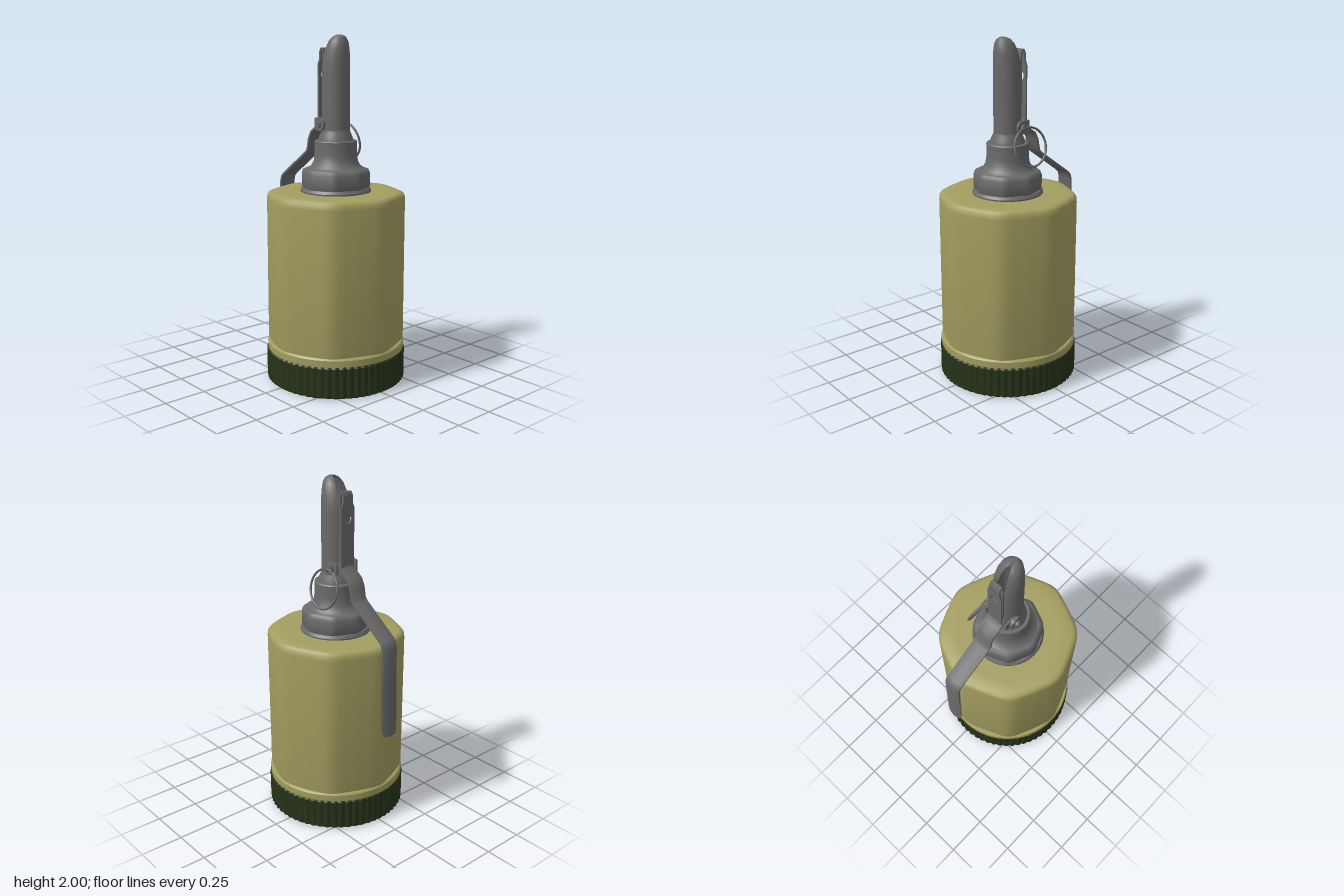
import * as THREE from 'three';
import { toCreasedNormals } from 'three/addons/utils/BufferGeometryUtils.js';

const AXIS_Z = 0.037; // the body axis sits slightly forward of the origin
const paint = (color) => new THREE.MeshStandardMaterial({ color, side: THREE.DoubleSide });
const v2 = (list) => list.map(([a, b]) => new THREE.Vector2(a, b));

export function createModel() {
  const model = new THREE.Group();
  const olive = paint(0xa39e60), green = paint(0x26331a), steel = paint(0x696969);

  const add = (name, geo, mat, crease = 0.6) => {
    const mesh = new THREE.Mesh(toCreasedNormals(geo, crease), mat);
    mesh.name = name;
    model.add(mesh);
    return mesh;
  };

  // Move every vertex by a rule
  const reshape = (geo, rule) => {
    const p = geo.attributes.position, v = new THREE.Vector3();
    for (let i = 0; i < p.count; i++) {
      rule(v.fromBufferAttribute(p, i));
      p.setXYZ(i, v.x, v.y, v.z);
    }
    return geo;
  };

  // Lathe whose radius is scaled by a function of angle and height
  const turned = (profile, segments, scale = () => 1, start = 0, length = Math.PI * 2) =>
    reshape(new THREE.LatheGeometry(v2(profile), segments, start, length), (v) => {
      const k = scale(Math.atan2(v.x, v.z), v.y);
      v.x *= k;
      v.z = v.z * k + AXIS_Z;
    });

  // Eight soft vertical ridges with flatter panels between
  const ridges = (depth) => (a) => 1 - depth * (1 - Math.pow(Math.abs(Math.cos(4 * a)), 3));

  // Ribbed base cap
  add('baseCap', turned([[0, 0], [0.39, 0], [0.408, 0.012], [0.408, 0.18], [0.4, 0.192], [0.38, 0.192]],
    360, (a) => 1 - 0.018 * Math.pow(Math.abs(Math.sin(30 * a)), 4)), green, 0.5);

  // Smooth band and ridged canister
  add('lowerBand', turned([[0.36, 0.19], [0.402, 0.19], [0.403, 0.228], [0.396, 0.237], [0.35, 0.237]], 96), olive);
  add('canister', turned([[0.394, 0.225], [0.4, 0.25], [0.4, 1.07], [0.398, 1.095], [0.388, 1.11],
    [0.37, 1.117], [0.3, 1.117], [0, 1.117]], 128, ridges(0.038)), olive, 0.9);

  // Neck
  add('neckFlange', turned([[0.1, 1.112], [0.203, 1.112], [0.205, 1.125], [0.195, 1.14], [0.15, 1.14]], 64), steel);
  add('neckCollar', turned([[0.19, 1.135], [0.197, 1.15], [0.197, 1.225], [0.188, 1.245], [0.17, 1.252], [0.13, 1.252]],
    96, ridges(0.05)), steel, 0.8);
  add('neck', turned([[0.165, 1.25], [0.142, 1.265], [0.128, 1.29], [0.121, 1.33], [0.121, 1.405], [0.116, 1.411],
    [0.062, 1.411], [0.062, 1.117]], 64), steel);
  add('neckFillet', turned([[0.1, 1.411], [0.096, 1.43], [0.084, 1.455], [0.08, 1.47], [0.066, 1.47], [0.066, 1.411]], 48), steel);

  // Hollow fuse tube: domed, tip leaning forward, open slot down the back
  const slot = 0.47;
  const tube = turned([[0.066, 1.46], [0.08, 1.46], [0.08, 1.8], [0.077, 1.86], [0.069, 1.92], [0.056, 1.965],
    [0.038, 1.99], [0.018, 2], [0.004, 2], [0.004, 1.986], [0.03, 1.975], [0.05, 1.93], [0.062, 1.86], [0.066, 1.8],
    [0.066, 1.46]], 48, undefined, Math.PI + slot, Math.PI * 2 - 2 * slot);
  reshape(tube, (v) => { v.z += 0.03 * Math.pow(Math.max(0, (v.y - 1.78) / 0.22), 2); });
  add('fuseTube', tube, steel);

  // Side faces closing the tube wall along the slot
  for (const side of [-1, 1]) {
    const edge = new THREE.BoxGeometry(0.003, 0.38, 0.014);
    edge.rotateY(-side * slot);
    edge.translate(side * 0.073 * Math.sin(slot), 1.65, AXIS_Z - 0.073 * Math.cos(slot));
    add('slotEdge', edge, steel);
  }

  // Bent strip from a [z, y] centre line
  const strip = (path, halfWidth, thick, steps) => {
    const left = [], right = [];
    path.forEach(([z, y], i) => {
      const a = path[Math.max(i - 1, 0)], b = path[Math.min(i + 1, path.length - 1)];
      const dz = b[0] - a[0], dy = b[1] - a[1], k = thick / 2 / Math.hypot(dz, dy);
      left.push([z - dy * k, y + dz * k]);
      right.unshift([z + dy * k, y - dz * k]);
    });
    const geo = new THREE.ExtrudeGeometry(new THREE.Shape(v2([...left, ...right])),
      { depth: halfWidth * 2, bevelEnabled: false, steps });
    return geo.rotateY(-Math.PI / 2).translate(halfWidth, 0, 0);
  };

  // Long safety lever, bowed across its width, with a rounded tip
  const lever = strip([[-0.05, 1.535], [-0.065, 1.51], [-0.09, 1.48], [-0.135, 1.45], [-0.155, 1.41], [-0.168, 1.345],
    [-0.185, 1.325], [-0.395, 1.175], [-0.415, 1.155], [-0.424, 1.12], [-0.43, 0.9], [-0.437, 0.64], [-0.438, 0.615],
    [-0.439, 0.6]], 0.052, 0.012, 8);
  reshape(lever, (v) => {
    const t = Math.max(0, (0.64 - v.y) / 0.04);
    v.x *= 1 - 0.35 * t * t;
    v.z += 4 * v.x * v.x;
  });
  add('safetyLever', lever, steel);

  // Upright plate of the lever with a round hole
  const plate = new THREE.Shape(v2([[-0.046, 1.5], [0.046, 1.5], [0.046, 1.84], [0.034, 1.87], [0.034, 1.91],
    [-0.034, 1.91], [-0.034, 1.87], [-0.046, 1.84]]));
  plate.holes.push(new THREE.Path().absarc(0, 1.78, 0.026, 0, Math.PI * 2, true));
  add('leverPlate', new THREE.ExtrudeGeometry(plate, { depth: 0.01, bevelEnabled: false, curveSegments: 20 })
    .translate(0, 0, -0.068), steel);

  // Hooked top folding back into the slot
  add('leverHook', strip([[-0.063, 1.89], [-0.062, 1.912], [-0.055, 1.926], [-0.046, 1.926], [-0.039, 1.912],
    [-0.036, 1.88], [-0.034, 1.78], [-0.034, 1.55]], 0.033, 0.009, 1), steel);

  // Pin ears, washers and cotter heads on both sides
  const across = (r, length, x, y, z) =>
    new THREE.CylinderGeometry(r, r, length, 24).rotateZ(Math.PI / 2).translate(x, y, z);
  for (const side of [-1, 1]) {
    add('pinEar', new THREE.BoxGeometry(0.01, 0.07, 0.075).translate(side * 0.072, 1.502, -0.024), steel);
    add('pinWasher', across(0.038, 0.022, side * 0.083, 1.502, 0), steel);
    add('pinHead', across(0.02, 0.014, side * 0.104, 1.502, 0), steel);
  }
  add('pin', across(0.012, 0.23, 0, 1.502, 0.0), steel);

  // Pull ring hanging tilted from the pin
  const ring = add('pullRing', new THREE.TorusGeometry(0.112, 0.0065, 10, 56).rotateY(Math.PI / 2), steel, 1.2);
  ring.rotation.z = 0.235;
  ring.position.set(0.135, 1.397, -0.02);

  return model;
}
